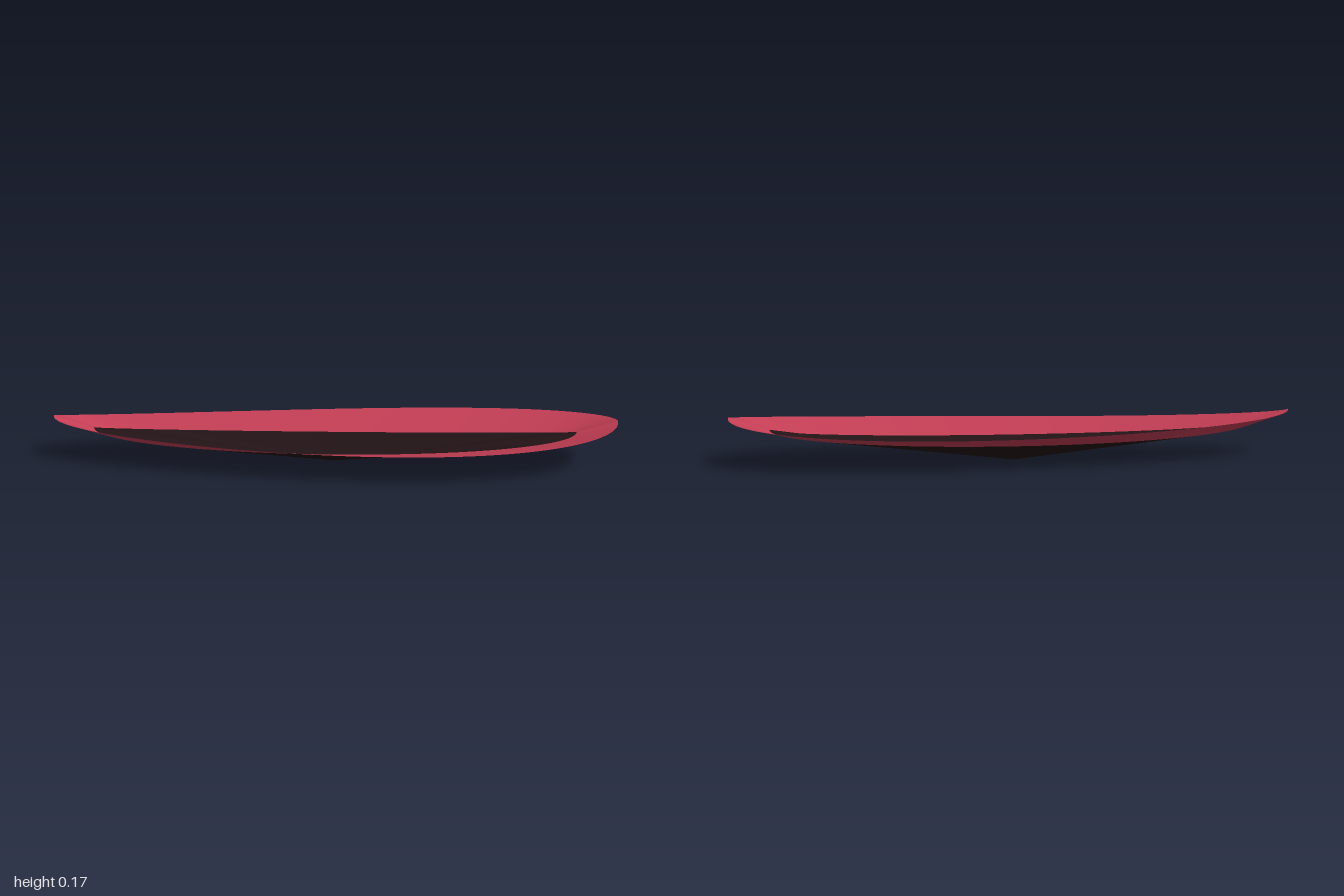
import * as THREE from 'three';

const SEGMENTS = 128;

// Outer rim: teardrop outline, lowest amidships and raised at both tips
const rim = (t) => [
  Math.cos(t),
  0.171 - 0.053 * Math.abs(Math.sin(t)),
  Math.sin(t) * (0.189 + 0.069 * Math.cos(t)),
];

// Lower ring: slim ellipse with raised tips
const chine = (t) => [
  0.86 * Math.cos(t),
  0.125 - 0.054 * Math.abs(Math.sin(t)),
  0.09 * Math.sin(t),
];

// Lowest point of the hull
const keel = () => [0, 0, 0];

// Thin shell joining two closed curves, normals facing outward
function loft(name, upper, lower, color) {
  const positions = [];
  const index = [];
  for (let i = 0; i < SEGMENTS; i++) {
    const t = (i / SEGMENTS) * Math.PI * 2;
    positions.push(...upper(t), ...lower(t));
    const a = i * 2;
    const b = ((i + 1) % SEGMENTS) * 2;
    index.push(a, b, a + 1);
    if (lower !== keel) index.push(b, b + 1, a + 1);
  }
  const geometry = new THREE.BufferGeometry();
  geometry.setAttribute('position', new THREE.Float32BufferAttribute(positions, 3));
  geometry.setIndex(index);
  geometry.computeVertexNormals();
  const material = new THREE.MeshStandardMaterial({ color, side: THREE.DoubleSide });
  const mesh = new THREE.Mesh(geometry, material);
  mesh.name = name;
  return mesh;
}

export function createModel() {
  const group = new THREE.Group();
  group.name = 'openHull';
  group.add(loft('upperHull', rim, chine, 0xc43e55));
  group.add(loft('lowerHull', chine, keel, 0x221316));
  return group;
}
